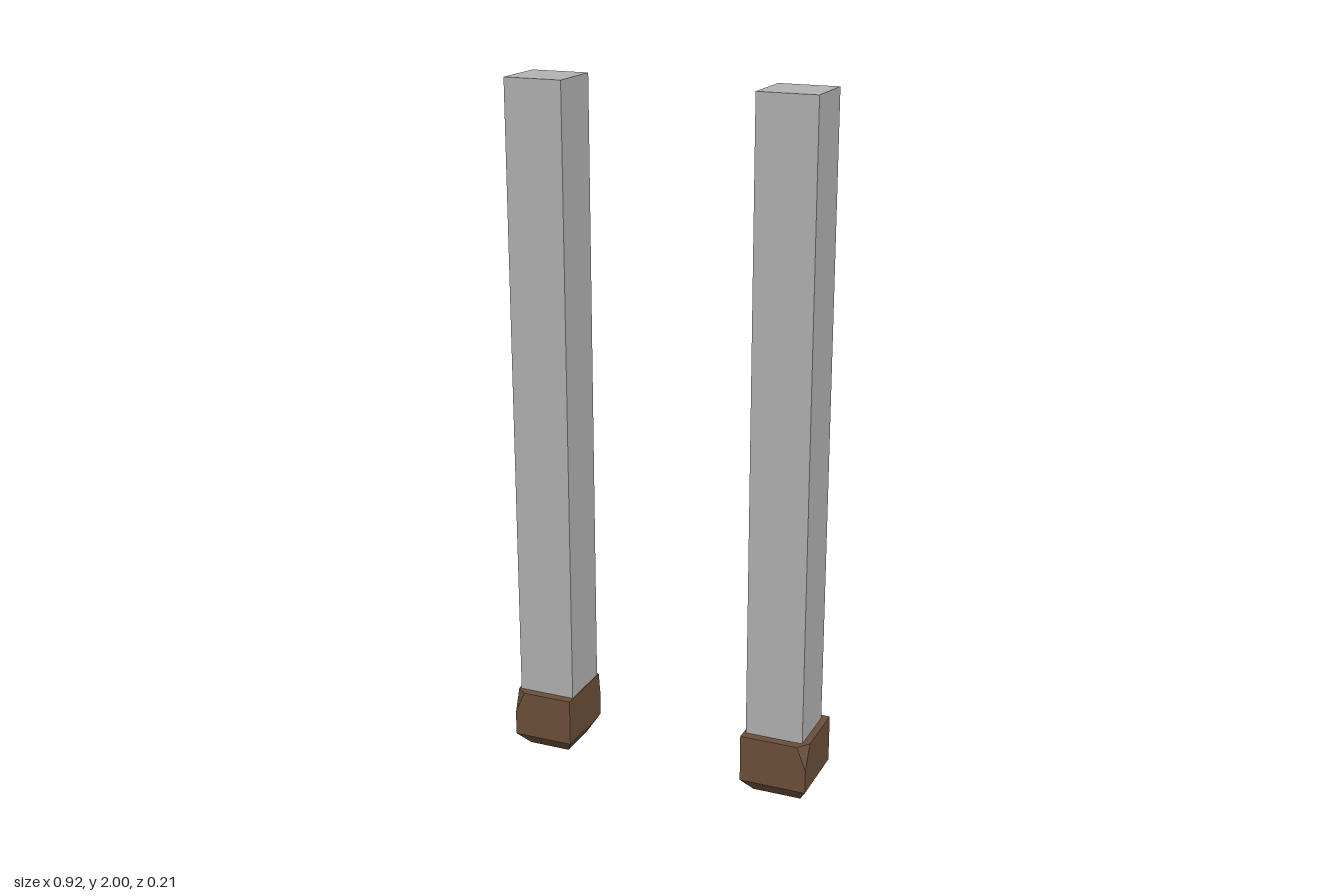
import * as THREE from 'three';

const stone = new THREE.MeshStandardMaterial({ color: 0xb2b2b2 });
stone.name = 'light grey';
const leather = new THREE.MeshStandardMaterial({ color: 0x6b4f3a });
leather.name = 'brown';

// Perimeter of a rectangle, counter-clockwise from above. Each corner is cut by
// [dx, dz]; notch = [xRight, xMid, xLeft, depth] dents the back edge.
function outline(x0, x1, z0, z1, cuts, notch, amount) {
  const [fr, br, bl, fl] = cuts.map(([dx, dz]) => [dx * amount, dz * amount]);
  return [
    [x1 - fr[0], z1], [x1, z1 - fr[1]],
    [x1, z0 + br[1]], [x1 - br[0], z0],
    [notch[0], z0], [notch[1], z0 + notch[3] * amount], [notch[2], z0],
    [x0 + bl[0], z0], [x0, z0 + bl[1]],
    [x0, z1 - fl[1]], [x0 + fl[0], z1],
  ];
}

// Block lofted through four rings: chamfered sole, straight wall, chipped rim.
function bootGeometry(x0, x1, cuts, notch) {
  const z0 = -0.108, z1 = 0.106, ix = 0.027, iz = 0.042;
  const wall = outline(x0, x1, z0, z1, cuts, notch, 0);
  const sole = outline(x0 + ix, x1 - ix, z0 + iz, z1 - iz, cuts, notch, 0);
  const rim = outline(x0, x1, z0, z1, cuts, notch, 1);
  const rings = [[sole, 0], [wall, 0.045], [wall, 0.115], [rim, 0.185]]
    .map(([pts, y]) => pts.map(([x, z]) => new THREE.Vector3(x, y, z)));
  const n = wall.length, tris = [];
  const add = (a, b, c) => {
    const area = b.clone().sub(a).cross(c.clone().sub(a)).length();
    if (area > 1e-8) tris.push(a, b, c);
  };
  for (let r = 0; r < 3; r++) {
    for (let i = 0; i < n; i++) {
      const j = (i + 1) % n;
      const a = rings[r][i], b = rings[r][j], c = rings[r + 1][j], d = rings[r + 1][i];
      add(a, b, c);
      add(a, c, d);
    }
  }
  for (let i = 1; i < n - 1; i++) {
    add(rings[3][0], rings[3][i], rings[3][i + 1]);
    add(rings[0][0], rings[0][i + 1], rings[0][i]);
  }
  const geometry = new THREE.BufferGeometry().setFromPoints(tris);
  geometry.computeVertexNormals();
  return geometry;
}

export function createModel() {
  const model = new THREE.Group();
  model.name = 'postPair';

  // Corner cuts in order: front +x, back +x, back -x, front -x
  const posts = [
    { name: 'left', x: 0.352, boot: [0.26, 0.457],
      cuts: [[0.027, 0.035], [0, 0], [0.008, 0.04], [0, 0]], notch: [0.43, 0.39, 0.34, 0.009] },
    { name: 'right', x: -0.367, boot: [-0.46, -0.28],
      cuts: [[0, 0], [0.025, 0.01], [0, 0], [0.03, 0.026]], notch: [-0.34, -0.37, -0.4, 0] },
  ];

  for (const p of posts) {
    const group = new THREE.Group();
    group.name = p.name + 'Post';

    // Square shaft, set into the boot
    const shaft = new THREE.Mesh(new THREE.BoxGeometry(0.17, 1.9, 0.17), stone);
    shaft.name = p.name + 'Shaft';
    shaft.position.set(p.x, 1.05, -0.005);

    // Chipped boot with a chamfered sole
    const boot = new THREE.Mesh(bootGeometry(...p.boot, p.cuts, p.notch), leather);
    boot.name = p.name + 'Boot';

    group.add(shaft, boot);
    model.add(group);
  }
  return model;
}
